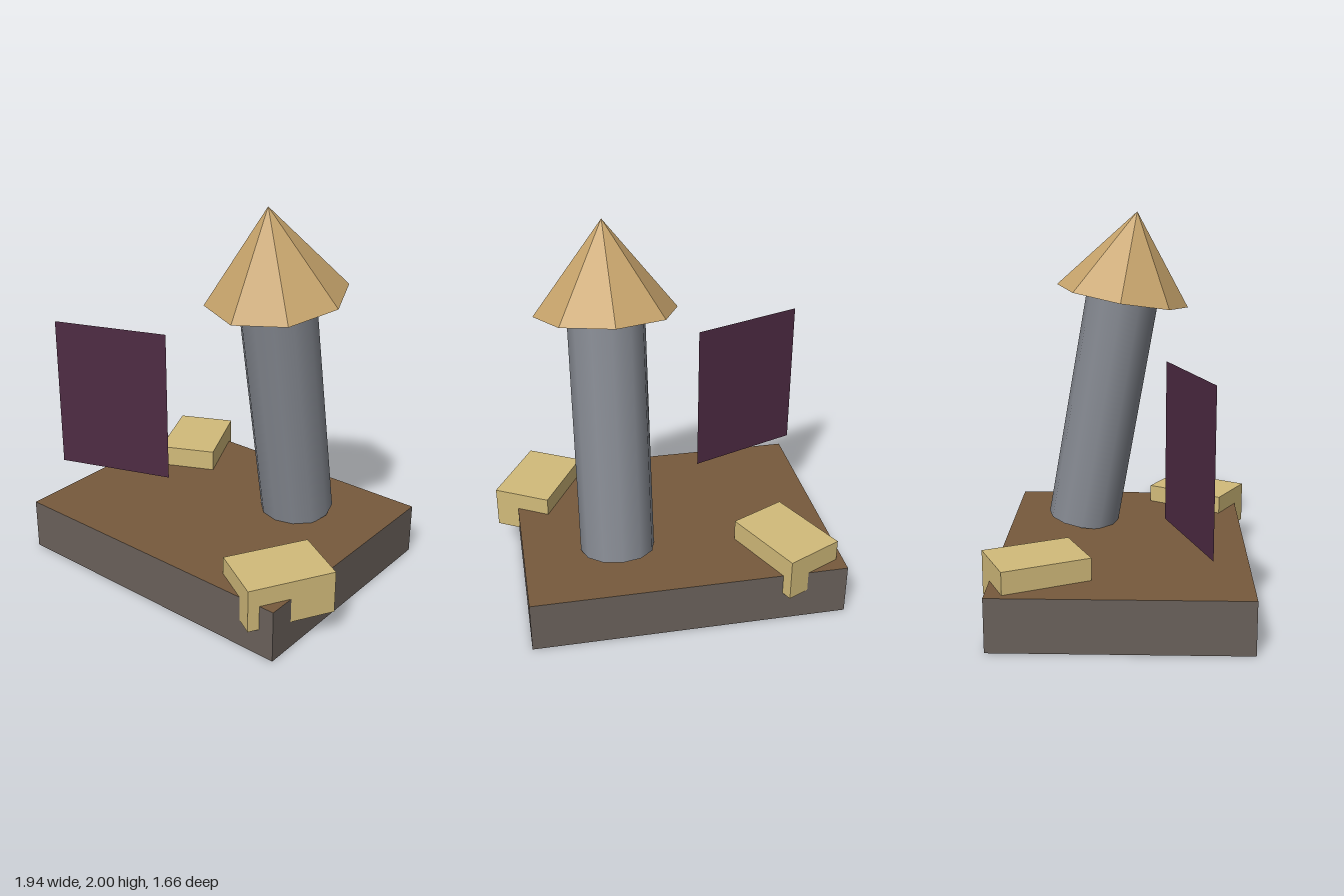
import * as THREE from 'three';

const mat = (name, color, extra = {}) =>
  Object.assign(new THREE.MeshStandardMaterial({ color, ...extra }), { name });

export function createModel() {
  const model = new THREE.Group();
  model.name = 'towerOnSlab';

  const soil = mat('soilBrown', 0x775a3d);
  const stone = mat('stoneGrey', 0x69605a);
  const slate = mat('slateGrey', 0x868a92);
  const roofTan = mat('roofTan', 0xc6a36b, { flatShading: true });
  const straw = mat('strawYellow', 0xd2bb7a);
  const plum = mat('plumPurple', 0x4e2b43, { side: THREE.DoubleSide });

  const add = (parent, name, geometry, material, x, y, z, turn = 0) => {
    const mesh = new THREE.Mesh(geometry, material);
    mesh.name = name;
    mesh.position.set(x, y, z);
    mesh.rotation.y = turn;
    parent.add(mesh);
    return mesh;
  };

  // Ground slab with a brown top
  const slabTurn = 0.264;
  add(model, 'slab', new THREE.BoxGeometry(1.647, 0.275, 1.278),
    [stone, stone, soil, stone, stone, stone], -0.015, 0.1375, 0, slabTurn);

  // Leaning tower: column and eight-sided roof share one tilted axis
  const tower = new THREE.Group();
  tower.name = 'tower';
  const foot = new THREE.Vector3(0.235, 0.287, -0.318);
  const tip = new THREE.Vector3(0.31, 2, -0.027);
  const axis = tip.clone().sub(foot);
  const length = axis.length();
  const roofHeight = 0.457;
  const columnHeight = length - roofHeight;
  tower.position.copy(foot);
  tower.quaternion.setFromUnitVectors(new THREE.Vector3(0, 1, 0), axis.normalize());
  add(tower, 'column', new THREE.CylinderGeometry(0.196, 0.196, columnHeight, 12),
    slate, 0, columnHeight / 2, 0, slabTurn);
  add(tower, 'roof', new THREE.ConeGeometry(0.361, roofHeight, 8),
    roofTan, 0, length - roofHeight / 2, 0, slabTurn);
  model.add(tower);

  // Two blocks sunk into the slab edges
  const block = new THREE.BoxGeometry(0.317, 0.225, 0.455);
  add(model, 'rightBlock', block, straw, -0.652, 0.2775, -0.26, 0.707);
  add(model, 'leftBlock', block, straw, 0.757, 0.2575, 0.22, -0.25);

  // Floating upright panel
  add(model, 'panel', new THREE.PlaneGeometry(0.635, 0.825), plum,
    -0.418, 0.8725, 0.443, THREE.MathUtils.degToRad(35));

  return model;
}
